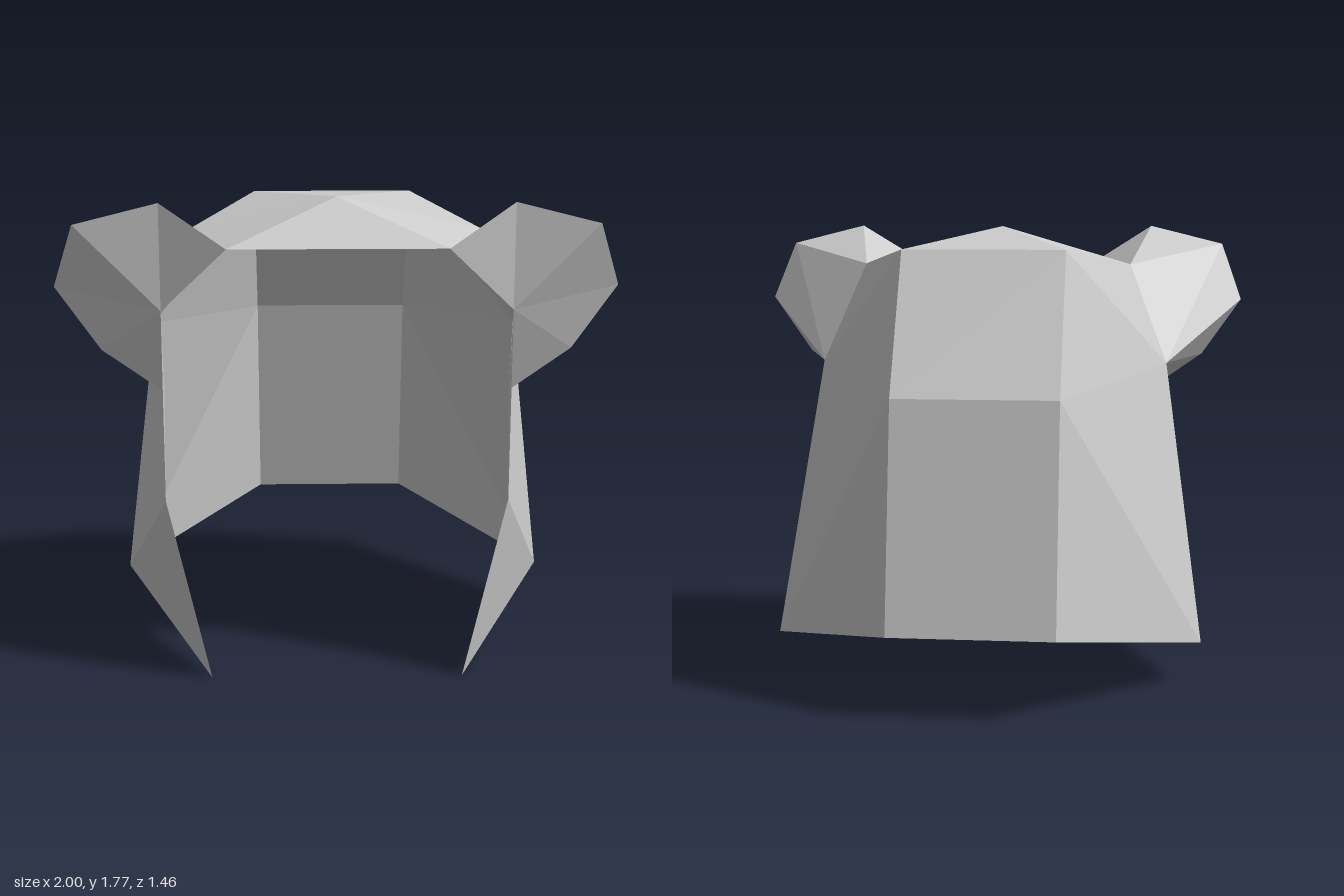
import * as THREE from 'three';

// Corner points of the left (+x) half of the hood
const P = {
  apex: [0, 1.77, 0.5],
  brim: [0.385, 1.62, 0.73],
  temple: [0.54, 1.62, 0.27],
  backTop: [0.31, 1.69, -0.27],
  backMid: [0.31, 1.16, -0.58],
  backLow: [0.31, 0.31, -0.73],
  side: [0.69, 1.235, 0.12],
  hem: [0.84, 0.16, -0.115],
  tip: [0.465, 0, 0.655],
  cheek: [0.62, 0.69, 0.655],
  earRoot: [0.62, 1.39, 0.655],
  ear1: [0.62, 1.77, 0.655],
  ear2: [0.92, 1.695, 0.655],
  ear3: [1.0, 1.465, 0.58],
  ear4: [0.84, 1.235, 0.58],
  ear5: [0.62, 1.08, 0.58],
};

// A leading '-' means the mirrored point
function point(name) {
  if (name[0] !== '-') return P[name];
  const [x, y, z] = P[name.slice(1)];
  return [-x, y, z];
}

// Builds faceted triangles from strings of three corner names
function facets(name, faces, material, mirrored = false) {
  const positions = faces.flatMap((face) => {
    const corners = face.split(' ').map(point);
    if (mirrored) corners.reverse();
    return corners.flatMap(([x, y, z]) => [mirrored ? -x : x, y, z]);
  });
  const geometry = new THREE.BufferGeometry();
  geometry.setAttribute('position', new THREE.Float32BufferAttribute(positions, 3));
  geometry.computeVertexNormals();
  const mesh = new THREE.Mesh(geometry, material);
  mesh.name = name;
  return mesh;
}

export function createModel() {
  const cloth = new THREE.MeshStandardMaterial({
    color: 0xcccccc, flatShading: true, side: THREE.DoubleSide,
  });
  cloth.name = 'hood grey';

  const hood = new THREE.Group();
  hood.name = 'hood';

  // Centre pieces
  hood.add(facets('crownCentre', ['-brim brim apex', 'apex backTop -backTop'], cloth));
  hood.add(facets('backPanel', [
    'backLow -backLow -backMid', 'backLow -backMid backMid',
    'backMid -backMid -backTop', 'backMid -backTop backTop',
  ], cloth));

  // Mirrored pieces
  const halves = {
    CrownSide: ['apex brim temple', 'apex temple backTop'],
    RearSide: ['hem backLow backMid', 'hem backMid side', 'side backMid backTop', 'side backTop temple'],
    CheekFlap: ['tip hem cheek', 'cheek hem side', 'cheek side ear5', 'cheek ear5 earRoot'],
    // Hollow ear, open towards the inside of the hood
    Ear: [
      'earRoot ear1 brim', 'earRoot ear2 ear1', 'earRoot ear3 ear2', 'earRoot ear4 ear3', 'earRoot ear5 ear4',
      'brim ear1 temple', 'temple ear1 ear2', 'temple ear2 side',
      'side ear2 ear3', 'side ear3 ear4', 'side ear4 ear5',
    ],
  };
  for (const [name, faces] of Object.entries(halves)) {
    hood.add(facets('left' + name, faces, cloth));
    hood.add(facets('right' + name, faces, cloth, true));
  }
  return hood;
}
